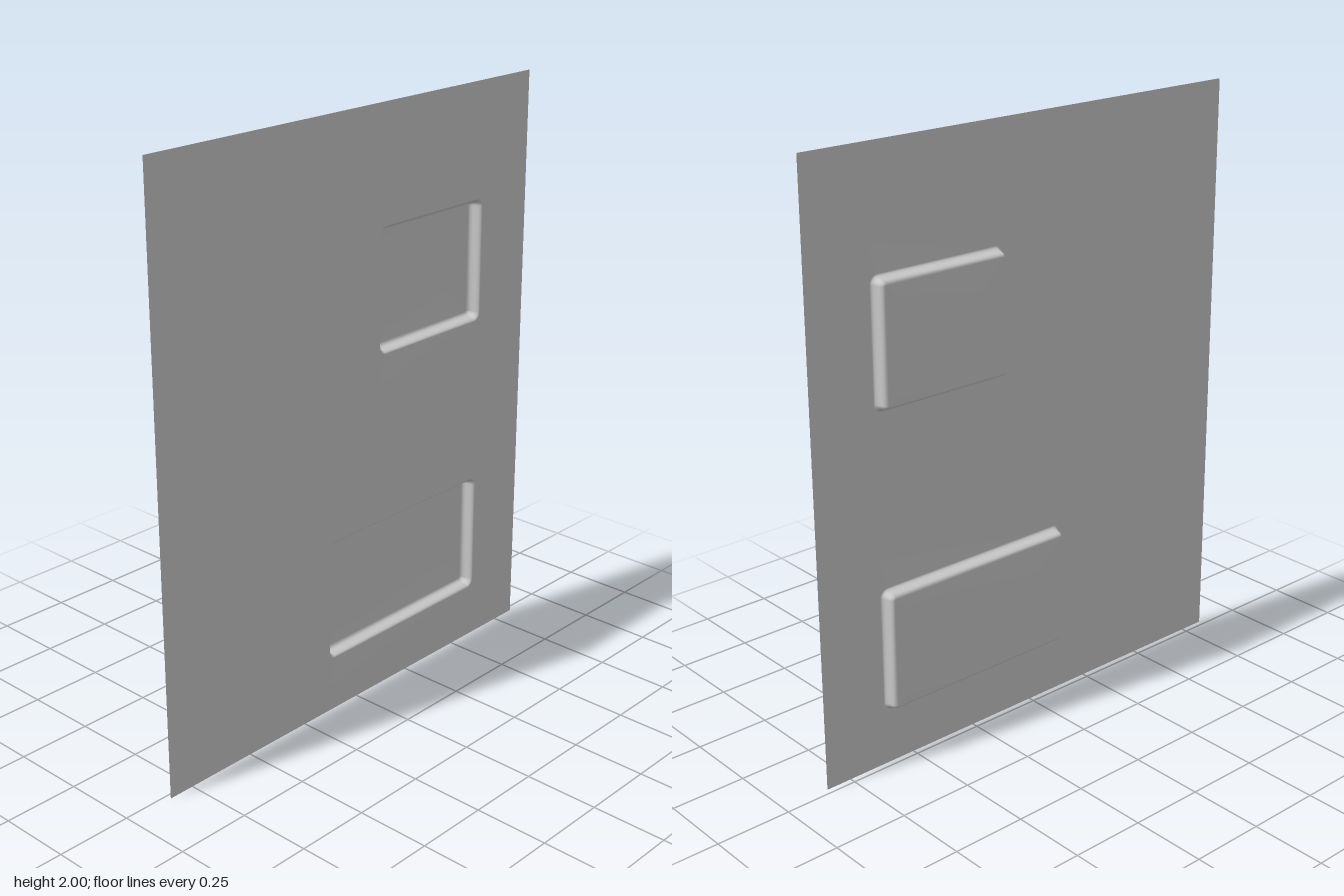
import * as THREE from 'three';

const FRONT = 0.02;
const COLLAR = 0.16; // flat band around each recess
const material = new THREE.MeshStandardMaterial({ color: 0xcccccc, side: THREE.DoubleSide });

// Pocket cross-section from sheet to floor: [outward offset, z]
const PROFILE = [
  [COLLAR, FRONT], [0.012, FRONT], [0.007, 0.017], [0.003, 0.011], [0, 0.001],
  [-0.003, -0.009], [-0.007, -0.016], [-0.015, -0.02], [-0.14, -0.02],
];

// Counter-clockwise rounded rectangle, grown by an offset
function ring([x0, y0, x1, y1], offset) {
  const r = Math.max(0.004, 0.018 + offset), steps = 6, points = [];
  const corners = [
    [x1 + offset - r, y0 - offset + r, -Math.PI / 2],
    [x1 + offset - r, y1 + offset - r, 0],
    [x0 - offset + r, y1 + offset - r, Math.PI / 2],
    [x0 - offset + r, y0 - offset + r, Math.PI],
  ];
  for (const [cx, cy, start] of corners) {
    for (let i = 0; i <= steps; i++) {
      const a = start + (i / steps) * Math.PI / 2;
      points.push(new THREE.Vector2(cx + r * Math.cos(a), cy + r * Math.sin(a)));
    }
  }
  return points;
}

// Open recess with softly rounded lip and floor edge
function pocket(rect, name) {
  const positions = [], indices = [];
  let n = 0;
  for (const [offset, z] of PROFILE) {
    const points = ring(rect, offset);
    n = points.length;
    for (const p of points) positions.push(p.x, p.y, z);
  }
  for (let j = 0; j < PROFILE.length - 1; j++) {
    for (let i = 0; i < n; i++) {
      const k = (i + 1) % n;
      const a = j * n + i, b = j * n + k, c = a + n, d = b + n;
      indices.push(a, b, d, a, d, c);
    }
  }
  // Close the middle of the floor
  const last = (PROFILE.length - 1) * n, centre = PROFILE.length * n;
  positions.push((rect[0] + rect[2]) / 2, (rect[1] + rect[3]) / 2, -0.02);
  for (let i = 0; i < n; i++) indices.push(last + i, last + (i + 1) % n, centre);

  const geometry = new THREE.BufferGeometry();
  geometry.setAttribute('position', new THREE.Float32BufferAttribute(positions, 3));
  geometry.setIndex(indices);
  geometry.computeVertexNormals();
  const mesh = new THREE.Mesh(geometry, material);
  mesh.name = name;
  return mesh;
}

export function createModel() {
  const group = new THREE.Group();
  group.name = 'recessedPanel';
  const recesses = [
    { name: 'upperRecess', rect: [0.12, 1.2, 0.6, 1.6] },
    { name: 'lowerRecess', rect: [-0.12, 0.2, 0.6, 0.6] },
  ];

  // Thin flat sheet, cut out where the recesses join
  const outline = new THREE.Shape([
    new THREE.Vector2(-0.84, 0), new THREE.Vector2(0.84, 0),
    new THREE.Vector2(0.84, 2), new THREE.Vector2(-0.84, 2),
  ]);
  for (const { rect } of recesses) outline.holes.push(new THREE.Path(ring(rect, COLLAR).reverse()));
  const sheet = new THREE.Mesh(new THREE.ShapeGeometry(outline), material);
  sheet.name = 'sheet';
  sheet.position.z = FRONT;
  group.add(sheet);

  for (const { rect, name } of recesses) group.add(pocket(rect, name));
  return group;
}
